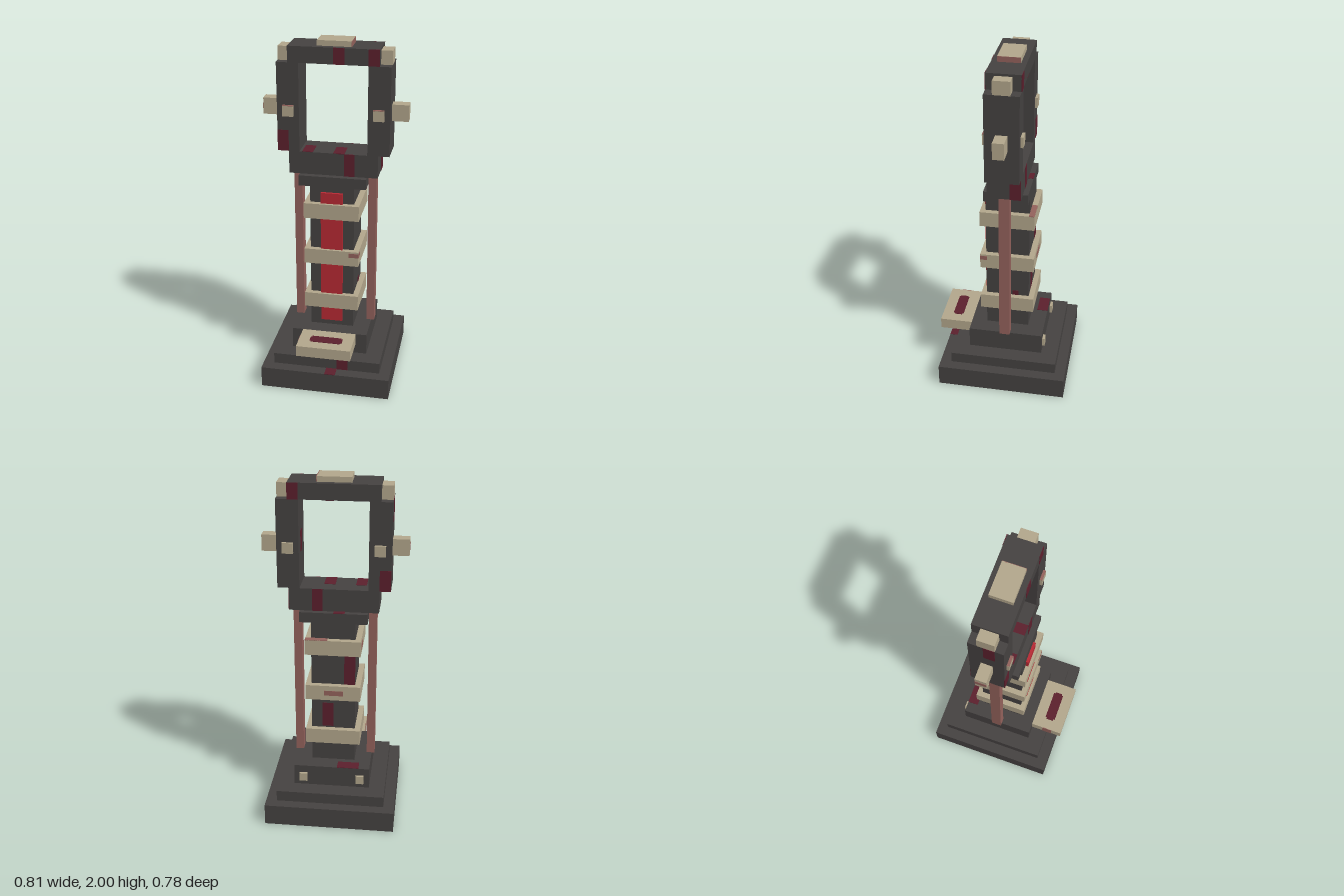
import * as THREE from 'three';

const mat = (name, color) => {
  const m = new THREE.MeshStandardMaterial({ color });
  m.name = name;
  return m;
};

export function createModel() {
  const model = new THREE.Group();
  model.name = 'pillarWithFrame';
  const stone = mat('darkStone', 0x454241);
  const tan = mat('paleTan', 0xb3a78c);
  const rose = mat('fadedRose', 0x94625c);
  const maroon = mat('maroon', 0x5c202d);
  const red = mat('brightRed', 0xb82a34);

  // Box given by its extents on each axis
  const box = (name, m, x0, x1, y0, y1, z0, z1) => {
    const mesh = new THREE.Mesh(new THREE.BoxGeometry(x1 - x0, y1 - y0, z1 - z0), m);
    mesh.position.set((x0 + x1) / 2, (y0 + y1) / 2, (z0 + z1) / 2);
    mesh.name = name;
    model.add(mesh);
    return mesh;
  };
  // Box symmetric in x
  const block = (name, m, hx, ...yz) => box(name, m, -hx, hx, ...yz);
  // Mirrored pair of boxes
  const pair = (name, m, x0, x1, ...yz) => {
    box(name + 'Left', m, x0, x1, ...yz);
    box(name + 'Right', m, -x1, -x0, ...yz);
  };
  // Thin painted plates lying on a face; T is half the thickness
  const T = 0.002;
  const onX = (m, x, y0, y1, z0, z1) => box('paintPatch', m, x - T, x + T, y0, y1, z0, z1);
  const onY = (m, y, x0, x1, z0, z1) => box('paintPatch', m, x0, x1, y - T, y + T, z0, z1);
  const onZ = (m, z, x0, x1, y0, y1) => box('paintPatch', m, x0, x1, y0, y1, z - T, z + T);

  // Stepped base
  block('baseSlab', stone, 0.375, 0, 0.125, -0.39, 0.36);
  block('baseStep', stone, 0.3125, 0.125, 0.19, -0.33, 0.295);
  block('plinth', stone, 0.22, 0.19, 0.315, -0.235, 0.2);
  pair('plinthStud', tan, 0.142, 0.188, 0.22, 0.27, -0.25, -0.235);

  // Front ledge with its inlay
  block('ledgeSupport', stone, 0.0625, 0.19, 0.25, 0.2, 0.31);
  block('ledge', tan, 0.157, 0.25, 0.315, 0.2, 0.39);
  onY(maroon, 0.315, -0.094, 0.094, 0.275, 0.318);
  onY(maroon, 0.3155, -0.085, 0.085, 0.266, 0.327);
  onX(rose, -0.157, 0.25, 0.315, 0.27, 0.33);

  // Column, strip, bands and rods
  block('column', stone, 0.125, 0.315, 1.19, -0.14, 0.11);
  block('frontStrip', red, 0.0625, 0.35, 1.16, 0.11, 0.125);
  for (const y of [0.44, 0.725, 1.007]) block('band', tan, 0.157, y, y + 0.09, -0.172, 0.14);
  pair('sideRod', rose, 0.19, 0.236, 0.315, 1.25, -0.045, 0.016);
  block('columnCap', stone, 0.19, 1.19, 1.25, -0.14, 0.11);

  // Square frame
  block('frameBottom', stone, 0.25, 1.25, 1.38, -0.11, 0.077);
  pair('frameSide', stone, 0.19, 0.3125, 1.38, 1.88, -0.11, 0.077);
  block('frameTop', stone, 0.25, 1.88, 1.97, -0.11, 0.077);
  pair('cornerBlock', tan, 0.25, 0.3125, 1.88, 1.957, -0.062, 0.031);
  pair('sideKnob', tan, 0.3125, 0.405, 1.567, 1.66, -0.047, 0.016);
  pair('frontStud', tan, 0.22, 0.281, 1.582, 1.642, 0.077, 0.092);
  pair('backStud', tan, 0.22, 0.281, 1.582, 1.642, -0.125, -0.11);
  block('crownPlate', tan, 0.094, 1.97, 2, -0.08, 0.045);

  // Worn patches on the frame, repeated front and back
  for (const z of [-0.11, 0.077]) {
    onZ(maroon, z, 0.19, 0.25, 1.88, 1.97);
    onZ(maroon, z, -0.3125, -0.25, 1.38, 1.5);
    onZ(maroon, z, 0.0625, 0.12, 1.25, 1.38);
  }
  onZ(maroon, 0.077, 0, 0.0625, 1.88, 1.97);
  onX(maroon, 0.25, 1.25, 1.38, -0.11, -0.047);
  onX(maroon, -0.3125, 1.75, 1.88, -0.03, 0.03);
  onX(maroon, 0.19, 1.57, 1.69, -0.047, 0);
  onY(maroon, 1.88, 0, 0.0625, -0.11, 0);
  onY(maroon, 1.38, -0.175, -0.115, -0.03, 0.077);
  onY(maroon, 1.38, 0, 0.0625, -0.03, 0.077);
  onX(rose, 0.094, 1.97, 2, -0.08, 0.045);
  onX(rose, -0.405, 1.6, 1.63, -0.047, 0.016);
  for (const s of [-1, 1]) onY(rose, 1.642, s * 0.25 - 0.03, s * 0.25 + 0.03, 0.077, 0.092);

  // Worn patches on the column and bands
  onZ(maroon, -0.14, -0.125, -0.0625, 0.815, 1.007);
  onZ(maroon, -0.14, 0, 0.0625, 0.54, 0.69);
  onX(maroon, 0.125, 0.53, 0.56, -0.08, -0.045);
  onY(maroon, 1.25, -0.0625, 0, -0.14, -0.11);
  onZ(rose, 0.14, 0.1, 0.157, 0.78, 0.805);
  onX(rose, 0.157, 0.78, 0.805, 0.1, 0.14);
  onZ(rose, -0.172, -0.06, 0.05, 0.755, 0.785);
  onX(rose, -0.157, 1.03, 1.065, -0.13, -0.05);
  onY(rose, 1.097, 0.031, 0.157, -0.172, -0.14);

  // Worn patches on the base
  onY(maroon, 0.315, -0.157, -0.031, -0.235, -0.172);
  onZ(maroon, 0.295, 0.0625, 0.125, 0.125, 0.19);
  onY(maroon, 0.125, 0, 0.0625, 0.295, 0.36);
  return model;
}
